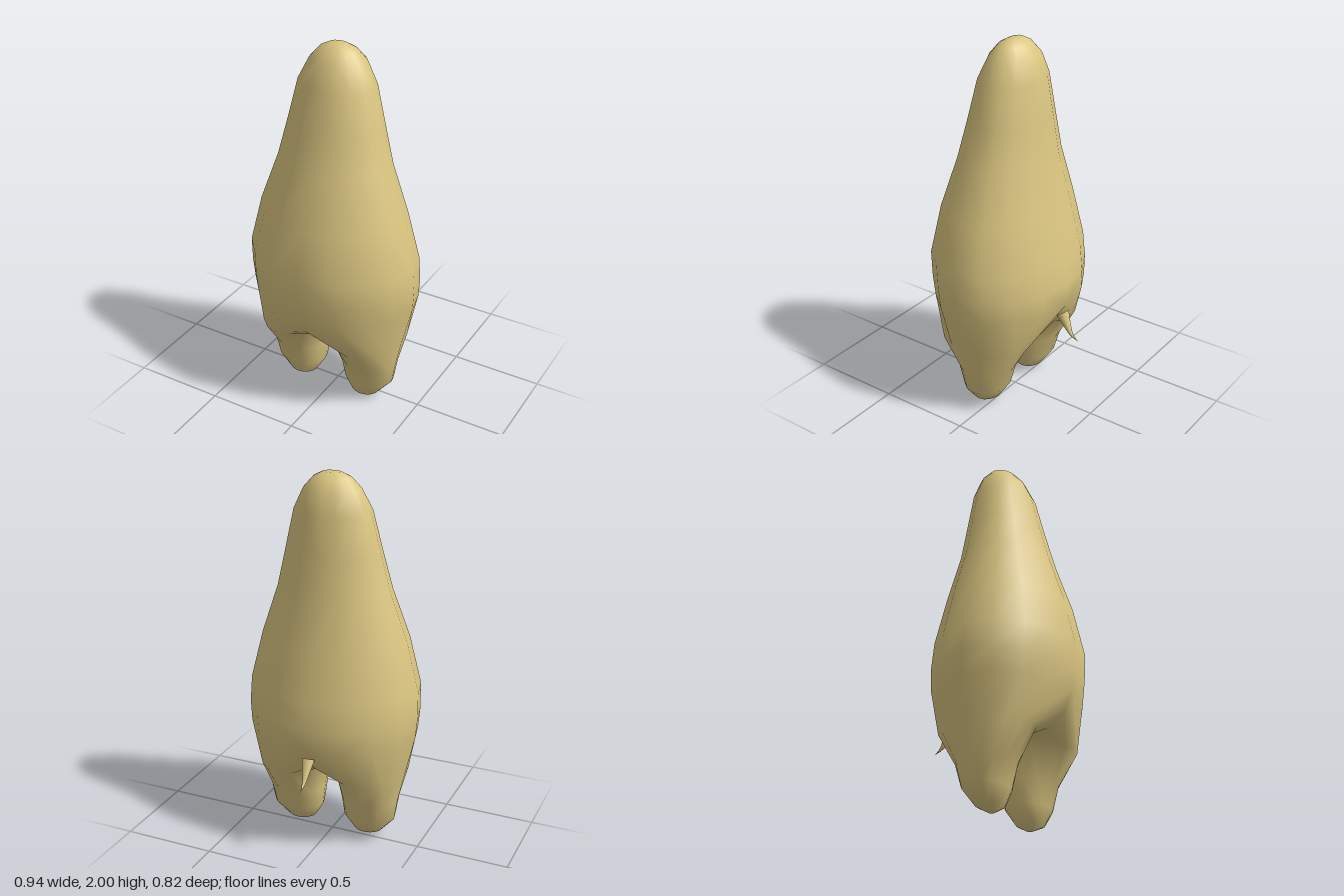
import * as THREE from 'three';
import { mergeVertices } from 'three/addons/utils/BufferGeometryUtils.js';

const SIDES = 16;

// Oval cross-section points, running front -> left side -> back (-> inside)
function oval(y, x0, x1, zf, zb, count) {
  const cx = (x0 + x1) / 2, rx = (x1 - x0) / 2, cz = (zf + zb) / 2, rz = (zf - zb) / 2;
  return Array.from({ length: count }, (_, k) => {
    const a = (k / SIDES) * Math.PI * 2;
    return [cx + rx * Math.sin(a), y, cz + rz * Math.cos(a)];
  });
}

// Skin between consecutive rows (top to bottom), on both sides of x = 0
function skin(rows, closed, out) {
  for (let i = 0; i < rows.length - 1; i++) {
    const n = rows[i].length;
    for (let k = 0; k < (closed ? n : n - 1); k++) {
      const j = (k + 1) % n;
      const a = rows[i][k], b = rows[i][j], c = rows[i + 1][k], d = rows[i + 1][j];
      for (const tri of [[a, c, d], [a, d, b]]) {
        for (const p of tri) out.push(...p);
        for (const p of [tri[0], tri[2], tri[1]]) out.push(-p[0], p[1], p[2]);
      }
    }
  }
}

function bodyGeometry() {
  // Torso: y, half width, front z, back z
  const torso = [
    [2.0, 0, 0, 0], [2.0, 0.05, 0.03, -0.035], [1.975, 0.1, 0.075, -0.075],
    [1.92, 0.15, 0.12, -0.12], [1.81, 0.205, 0.17, -0.152], [1.6, 0.255, 0.22, -0.18],
    [1.4, 0.305, 0.272, -0.207], [1.14, 0.397, 0.355, -0.265], [0.88, 0.463, 0.41, -0.322],
    [0.74, 0.468, 0.402, -0.337], [0.63, 0.46, 0.39, -0.336],
  ].map(([y, w, zf, zb]) => oval(y, -w, w, zf, zb, SIDES / 2 + 1));

  // Crotch arch from back to front: y, z
  const crotch = [[0.5, -0.26], [0.46, -0.19], [0.435, -0.08], [0.43, 0.04],
    [0.43, 0.15], [0.45, 0.25], [0.52, 0.34]].map(([y, z]) => [0, y, z]);

  // Leg: starts on half the torso edge plus the crotch, ends in a rounded foot
  const leg = [[...torso[torso.length - 1], ...crotch]];
  for (const [y, x0, x1, zf, zb] of [
    [0.4, 0.04, 0.405, 0.285, -0.22], [0.24, 0.055, 0.37, 0.178, -0.125],
    [0.12, 0.07, 0.352, 0.145, -0.09], [0.035, 0.12, 0.28, 0.112, -0.03],
    [0.003, 0.18, 0.2, 0.06, 0.03], [0, 0.19, 0.19, 0.045, 0.045],
  ]) leg.push(oval(y, x0, x1, zf, zb, SIDES));

  const out = [];
  skin(torso, false, out);
  skin(leg, true, out);
  const g = new THREE.BufferGeometry();
  g.setAttribute('position', new THREE.Float32BufferAttribute(out, 3));
  const merged = mergeVertices(g, 1e-4);
  merged.computeVertexNormals();
  return merged;
}

// Curved tail tapering to a point
function tailGeometry() {
  const curve = new THREE.CatmullRomCurve3([
    [0.57, -0.305], [0.5, -0.338], [0.45, -0.367], [0.42, -0.41],
  ].map(([y, z]) => new THREE.Vector3(0, y, z)));
  const segments = 10, sides = 8;
  const g = new THREE.TubeGeometry(curve, segments, 0.036, sides);
  const pos = g.attributes.position, v = new THREE.Vector3();
  for (let i = 0; i < pos.count; i++) {
    const t = Math.floor(i / (sides + 1)) / segments;
    const c = curve.getPointAt(t);
    v.fromBufferAttribute(pos, i).sub(c).multiplyScalar(Math.pow(1 - t, 1.1)).add(c);
    pos.setXYZ(i, v.x, v.y, v.z);
  }
  return g;
}

export function createModel() {
  const group = new THREE.Group();
  const material = new THREE.MeshStandardMaterial({ color: 0xdbc681 });
  const body = new THREE.Mesh(bodyGeometry(), material);
  body.name = 'bodyAndLegs';
  const tail = new THREE.Mesh(tailGeometry(), material);
  tail.name = 'tail';
  group.add(body, tail);
  return group;
}
